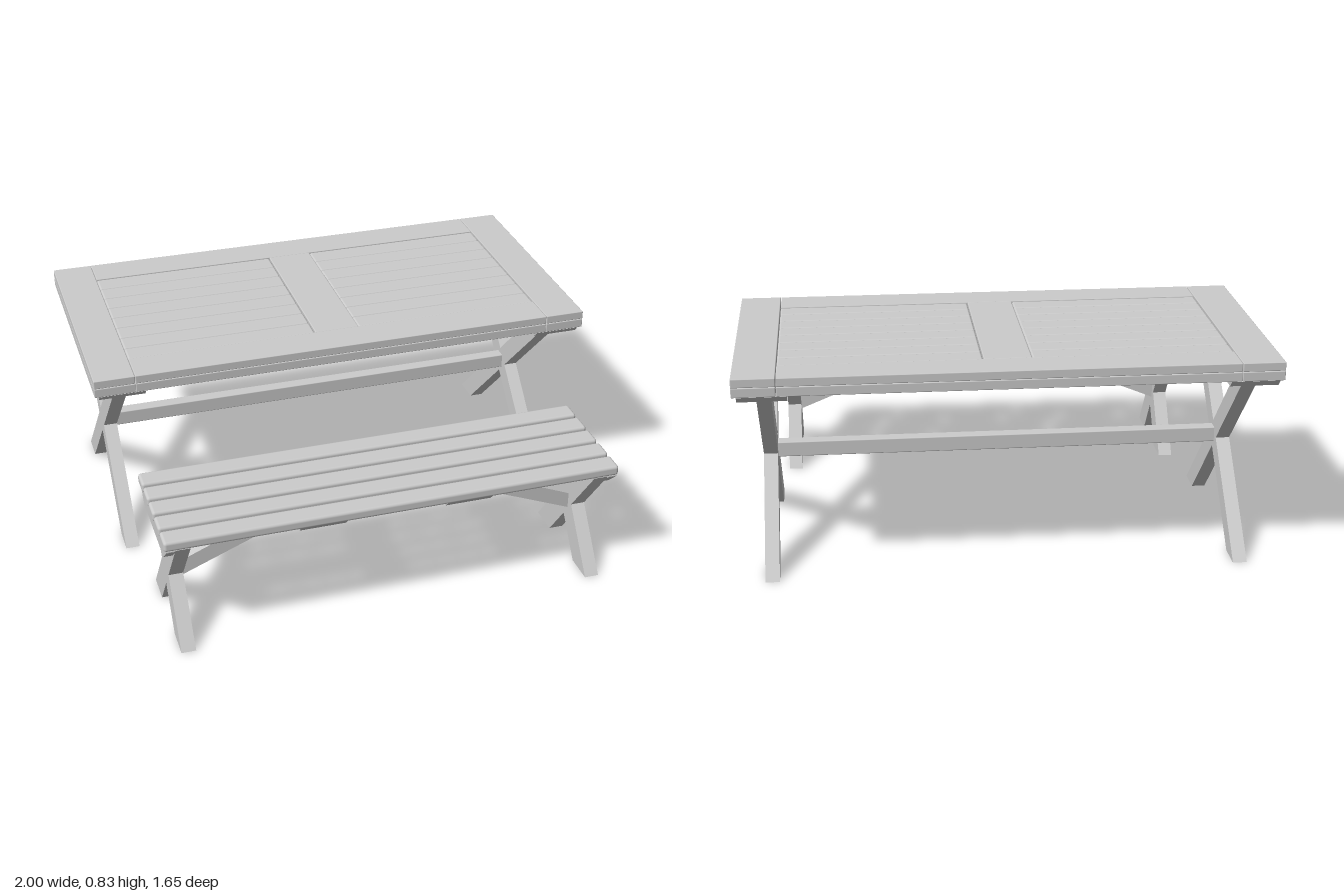
import * as THREE from 'three';
import { RoundedBoxGeometry } from 'three/addons/geometries/RoundedBoxGeometry.js';

const wood = new THREE.MeshStandardMaterial({ color: 0xcccccc });

function add(group, name, geometry, x = 0, y = 0, z = 0) {
  const mesh = new THREE.Mesh(geometry, wood);
  mesh.name = name;
  mesh.position.set(x, y, z);
  group.add(mesh);
  return mesh;
}

// Board with softened edges, given by its extents
function board(group, name, [x0, x1], [y0, y1], [z0, z1], radius = 0.004) {
  const geometry = new RoundedBoxGeometry(x1 - x0, y1 - y0, z1 - z0, 2, radius);
  return add(group, name, geometry, (x0 + x1) / 2, (y0 + y1) / 2, (z0 + z1) / 2);
}

function outline(points) {
  return new THREE.Shape(points.map(([a, b]) => new THREE.Vector2(a, b)));
}

// Outline in (z, y), extruded along x and centred on x = 0
function endProfile(points, thickness) {
  return new THREE.ExtrudeGeometry(outline(points), { depth: thickness, bevelEnabled: false })
    .translate(0, 0, -thickness / 2)
    .rotateY(-Math.PI / 2);
}

// Flat bar with its lower corners cut away
function cleat(group, name, x, thickness, [y0, y1], halfTop, halfBottom, straight = 0) {
  const points = [[-halfBottom, y0], [halfBottom, y0], [halfTop, y1 - straight]];
  if (straight) points.push([halfTop, y1], [-halfTop, y1]);
  points.push([-halfTop, y1 - straight]);
  add(group, name, endProfile(points, thickness), x);
}

// Two crossing legs cut flat at the floor and at the top
function crossLegs(group, x, thickness, height, outer, inner) {
  for (const s of [1, -1]) {
    const points = [[s * outer, 0], [s * inner, 0], [-s * outer, height], [-s * inner, height]];
    add(group, s > 0 ? 'frontFootLeg' : 'backFootLeg', endProfile(points, thickness), x);
  }
}

function createTable() {
  const table = new THREE.Group();
  table.name = 'table';
  const layers = [[0.76, 0.796], [0.797, 0.83]];

  // Frame of the top, in two layers
  for (const layer of layers) {
    for (const s of [1, -1]) {
      const ends = s > 0 ? [0.842, 1] : [-1, -0.842];
      const sides = s > 0 ? [0.357, 0.5] : [-0.5, -0.357];
      board(table, 'endBoard', ends, layer, [-0.5, 0.5], 0.003);
      board(table, 'sideRail', [-0.84, 0.84], layer, sides, 0.003);
    }
  }
  board(table, 'middleBoard', [-0.089, 0.089], [0.762, 0.83], [-0.357, 0.357]);

  // Slats on both sides of the middle board
  const count = 8;
  const pitch = 0.714 / count;
  for (let i = 0; i < count; i++) {
    const z = -0.357 + i * pitch;
    const span = [z + 0.0005, z + pitch - 0.0005];
    board(table, 'topSlat', [0.091, 0.84], [0.765, 0.828], span, 0.008);
    board(table, 'topSlat', [-0.84, -0.091], [0.765, 0.828], span, 0.008);
  }

  // Cleats, crossed legs and the stretcher between them
  for (const s of [1, -1]) {
    cleat(table, 'tableCleat', s * 0.892, 0.18, [0.735, 0.76], 0.5, 0.475);
    crossLegs(table, s * 0.888, 0.054, 0.735, 0.43, 0.319);
  }
  board(table, 'stretcher', [-0.865, 0.865], [0.34, 0.4], [-0.025, 0.025]);
  return table;
}

function createBench() {
  const bench = new THREE.Group();
  bench.name = 'bench';

  // Seat slats
  for (let i = -2; i <= 2; i++) {
    const z = i * 0.1005;
    board(bench, 'seatSlat', [-0.885, 0.885], [0.466, 0.508], [z - 0.042, z + 0.042], 0.012);
  }

  // Sloping brace outline in (x, y)
  const brace = outline([[0.79, 0.2], [0.79, 0.266], [0.375, 0.442], [0.2, 0.442]]);
  for (const s of [1, -1]) {
    cleat(bench, 'benchCleat', s * 0.86, 0.034, [0.405, 0.467], 0.24, 0.178, 0.004);
    crossLegs(bench, s * 0.815, 0.056, 0.466, 0.238, 0.118);
    cleat(bench, 'seatBatten', s * 0.285, 0.18, [0.441, 0.467], 0.235, 0.21);
    const geometry = new THREE.ExtrudeGeometry(brace, { depth: 0.06, bevelEnabled: false });
    geometry.translate(0, 0, -0.03);
    if (s < 0) geometry.rotateY(Math.PI);
    add(bench, 'brace', geometry);
  }
  return bench;
}

export function createModel() {
  const model = new THREE.Group();
  model.name = 'picnicTableAndBench';
  const table = createTable();
  table.position.z = -0.326;
  const bench = createBench();
  bench.position.z = 0.585;
  model.add(table, bench);
  return model;
}
